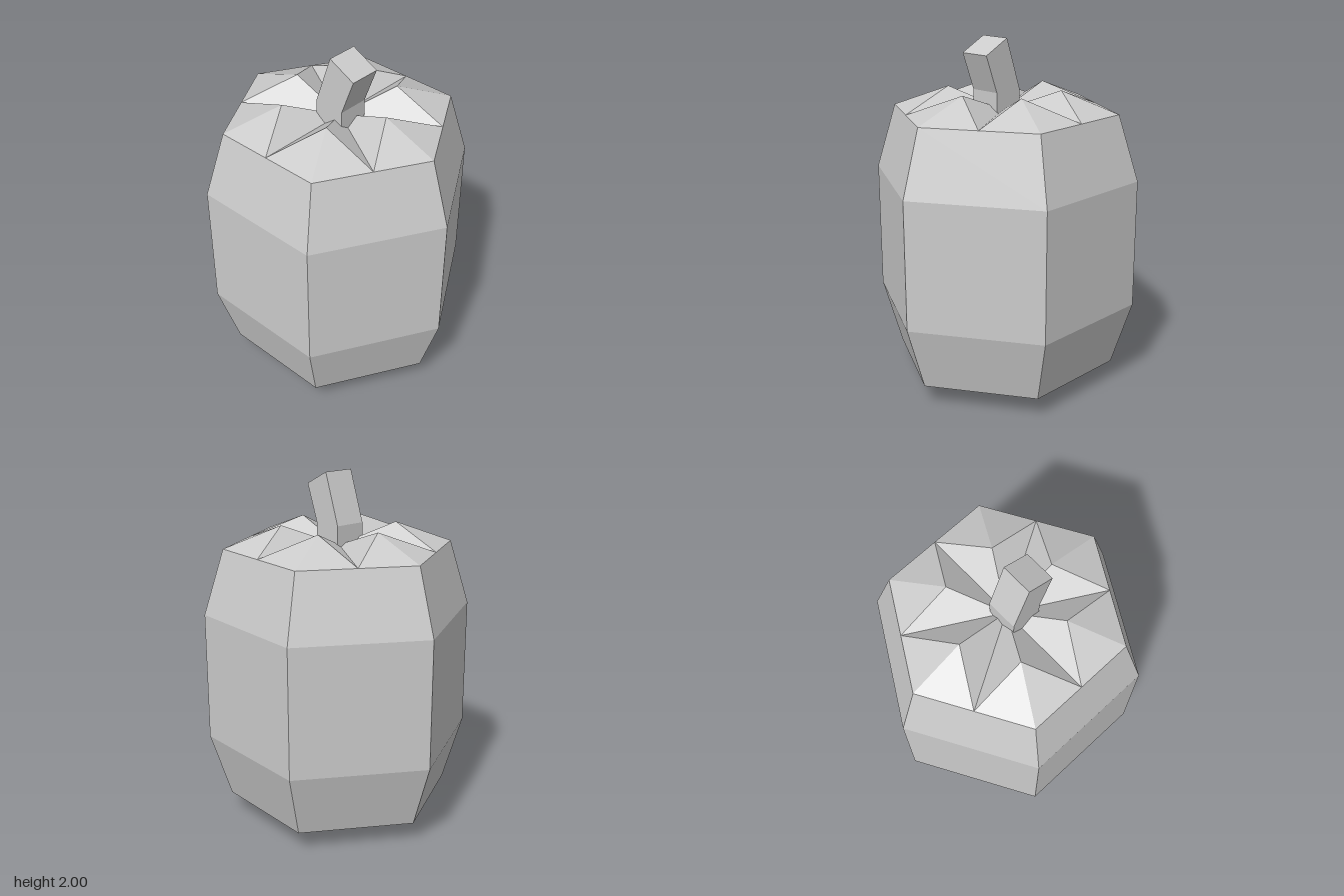
import * as THREE from 'three';

const SIDES = 6;
const RIM = 0.645;   // radius where the wall meets the petalled ends
const LOW = 0.12, HIGH = 1.595;

const material = new THREE.MeshStandardMaterial({ color: 0xcccccc, flatShading: true });

function addPart(group, name, geometry) {
  const mesh = new THREE.Mesh(geometry, material);
  mesh.name = name;
  group.add(mesh);
  return mesh;
}

// Six faceted petals: each peaks halfway out, with valleys running to the rim's edge midpoints
function petalCap(rimY, peakY) {
  const at = (r, angle, y) => [r * Math.cos(angle), y, r * Math.sin(angle)];
  const step = Math.PI / SIDES;
  const midRadius = RIM * Math.cos(step);
  const up = peakY > rimY;
  const positions = [];
  for (let i = 0; i < SIDES; i++) {
    const a = i * 2 * step;
    const peak = at(RIM / 2, a, peakY);
    const outline = [
      [0, rimY, 0],
      at(midRadius, a - step, rimY),
      at(RIM, a, rimY),
      at(midRadius, a + step, rimY),
    ];
    outline.forEach((p, k) => {
      const q = outline[(k + 1) % outline.length];
      positions.push(...peak, ...(up ? q : p), ...(up ? p : q));
    });
  }
  const geometry = new THREE.BufferGeometry();
  geometry.setAttribute('position', new THREE.Float32BufferAttribute(positions, 3));
  geometry.computeVertexNormals();
  return geometry;
}

export function createModel() {
  const group = new THREE.Group();
  group.name = 'pepper';

  // Six-sided barrel wall, with a corner on each side
  const profile = [[RIM, LOW], [0.76, 0.49], [0.76, 1.225], [RIM, HIGH]]
    .map(([r, y]) => new THREE.Vector2(r, y));
  addPart(group, 'body', new THREE.LatheGeometry(profile, SIDES, Math.PI / 2));

  // Petalled ends
  addPart(group, 'topLobes', petalCap(HIGH, 1.715));
  addPart(group, 'bottomLobes', petalCap(LOW, 0));

  // Square stem, upright at first and then leaning to one side
  const stemShape = new THREE.Shape([
    [-0.06, 1.5], [0.12, 1.5], [0.12, 1.71], [0.2, 1.92], [0.04, 2], [-0.06, 1.715],
  ].map(([x, y]) => new THREE.Vector2(x, y)));
  const stem = new THREE.ExtrudeGeometry(stemShape, { depth: 0.18, bevelEnabled: false });
  addPart(group, 'stem', stem.translate(0, 0, -0.06));

  // Small nub in the hollow underneath
  addPart(group, 'bottomNub', new THREE.BoxGeometry(0.125, 0.12, 0.125)).position.y = 0.12;

  return group;
}
